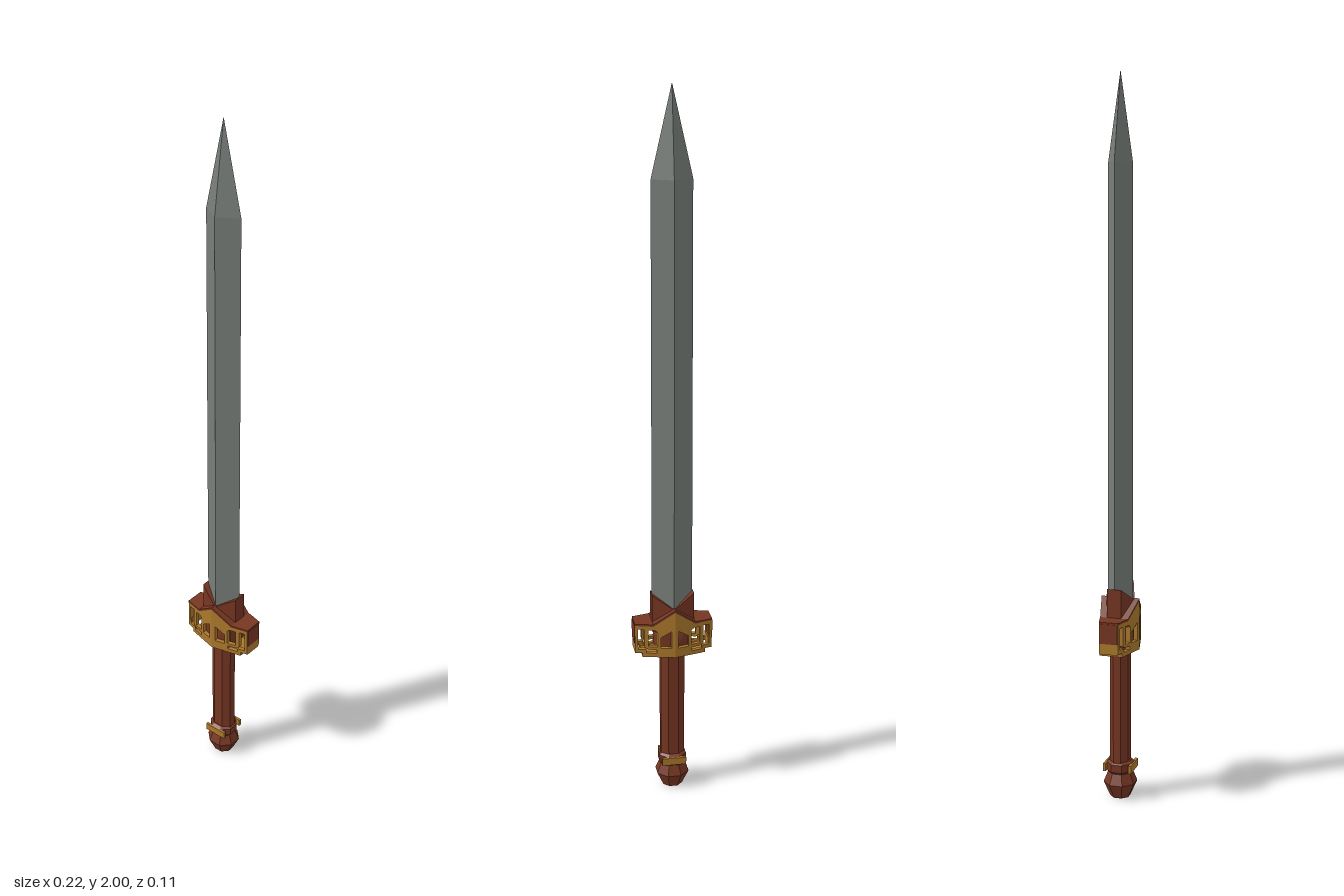
import * as THREE from 'three';

const mat = (name, color) => {
  const m = new THREE.MeshStandardMaterial({ color, flatShading: true });
  m.name = name;
  return m;
};

// Front outline whose half-depth narrows away from the centre line
function tapered(points, depthAt) {
  const shape = new THREE.Shape(points.map(([x, y]) => new THREE.Vector2(x, y)));
  const geo = new THREE.ExtrudeGeometry(shape, { depth: 2, bevelEnabled: false });
  const p = geo.attributes.position;
  for (let i = 0; i < p.count; i++) p.setZ(i, (p.getZ(i) - 1) * depthAt(Math.abs(p.getX(i))));
  geo.computeVertexNormals();
  return geo;
}

// Mirror the right half of an outline (listed from bottom centre to top centre)
const mirrored = half => [...half, ...half.slice(1, -1).reverse().map(([x, y]) => [-x, y])];

export function createModel() {
  const steel = mat('steel', 0x777d78);
  const leather = mat('redBrown', 0x763622);
  const gold = mat('gold', 0xac782c);
  const group = new THREE.Group();
  const add = (name, geo, material) => {
    const mesh = new THREE.Mesh(geo, material);
    mesh.name = name;
    group.add(mesh);
    return mesh;
  };
  const box = (name, w, h, d, x, y, z, material) =>
    add(name, new THREE.BoxGeometry(w, h, d), material).position.set(x, y, z);

  // Blade: diamond section running to a point
  const rings = [[0.5, 1], [1.76, 0.96], [2, 0]];
  const corners = [[0.058, 0], [0, 0.036], [-0.058, 0], [0, -0.036]];
  const verts = [];
  const index = [];
  rings.forEach(([y, s]) => corners.forEach(([x, z]) => verts.push(x * s, y, z * s)));
  for (let r = 0; r < 2; r++) for (let i = 0; i < 4; i++) {
    const a = r * 4 + i, b = r * 4 + (i + 1) % 4;
    index.push(a, a + 4, b);
    if (r === 0) index.push(b, a + 4, b + 4);
  }
  const blade = new THREE.BufferGeometry();
  blade.setAttribute('position', new THREE.Float32BufferAttribute(verts, 3));
  blade.setIndex(index);
  blade.computeVertexNormals();
  add('blade', blade, steel);

  // Collar with a notched top around the blade root
  add('collar', tapered(mirrored([[0, 0.5], [0.06, 0.5], [0.06, 0.61], [0, 0.57]]),
    x => 0.041 - 0.35 * x), leather);

  // Guard: core, roof, floor and end panels
  const guardDepth = x => 0.055 - 0.25 * x;
  add('guardCore', tapered(mirrored([[0, 0.44], [0.048, 0.44], [0.048, 0.53], [0, 0.56]]),
    x => 0.042 - 0.25 * x), leather);
  add('guardRoof', tapered(mirrored([[0, 0.568], [0.06, 0.524], [0.111, 0.524],
    [0.111, 0.53], [0.06, 0.53], [0, 0.575]]), guardDepth), leather);
  add('guardFloor', tapered(mirrored([[0, 0.43], [0.09, 0.43], [0.09, 0.437], [0, 0.437]]),
    x => guardDepth(x) - 0.005), gold);
  for (const s of [-1, 1]) {
    box('guardEndPanel', 0.008, 0.055, 0.05, s * 0.108, 0.4975, 0, leather);
    box('guardEndTrim', 0.01, 0.03, 0.05, s * 0.105, 0.455, 0, gold);
  }

  // Pierced guard plate: one half, sheared back from the centre, mirrored four ways
  const path = (Type, pts) => new Type(pts.map(([x, y]) => new THREE.Vector2(x, y)));
  const plate = path(THREE.Shape, [[0, 0.43], [0.09, 0.43], [0.09, 0.442], [0.11, 0.442],
    [0.11, 0.525], [0.06, 0.525], [0, 0.57]]);
  plate.holes = [
    // window beside the core
    [[0.048, 0.462], [0.074, 0.462], [0.074, 0.512], [0.054, 0.512], [0.048, 0.505]],
    // hooked outer slot
    [[0.05, 0.442], [0.08, 0.442], [0.08, 0.453], [0.102, 0.453], [0.102, 0.514],
      [0.085, 0.514], [0.085, 0.46], [0.074, 0.453], [0.05, 0.453]],
    // slanted window over the core
    [[0.01, 0.458], [0.04, 0.458], [0.04, 0.49], [0.01, 0.51]],
  ].map(pts => path(THREE.Path, pts));
  const plateGeo = new THREE.ExtrudeGeometry(plate, { depth: 0.012, bevelEnabled: false });
  const pp = plateGeo.attributes.position;
  for (let i = 0; i < pp.count; i++) pp.setZ(i, pp.getZ(i) + 0.043 - 0.25 * pp.getX(i));
  plateGeo.computeVertexNormals();
  for (const sx of [-1, 1]) for (const sz of [-1, 1])
    add('guardPlate', plateGeo, gold).scale.set(sx, 1, sz);

  // Eight-sided grip
  const grip = new THREE.CylinderGeometry(0.037, 0.037, 0.36, 8);
  grip.rotateY(Math.PI / 8);
  grip.scale(1, 1, 0.76);
  add('grip', grip, leather).position.y = 0.27;

  // Faceted pommel with a small gold plate front and back
  const profile = [[0, 0], [0.03, 0], [0.05, 0.042], [0.037, 0.072], [0.042, 0.078],
    [0.042, 0.1], [0.034, 0.106], [0, 0.106]].map(([x, y]) => new THREE.Vector2(x, y));
  add('pommel', new THREE.LatheGeometry(profile, 8, Math.PI / 8), leather).scale.z = 0.95;
  for (const s of [-1, 1]) box('pommelPlate', 0.07, 0.022, 0.008, 0, 0.089, s * 0.037, gold);

  return group;
}
